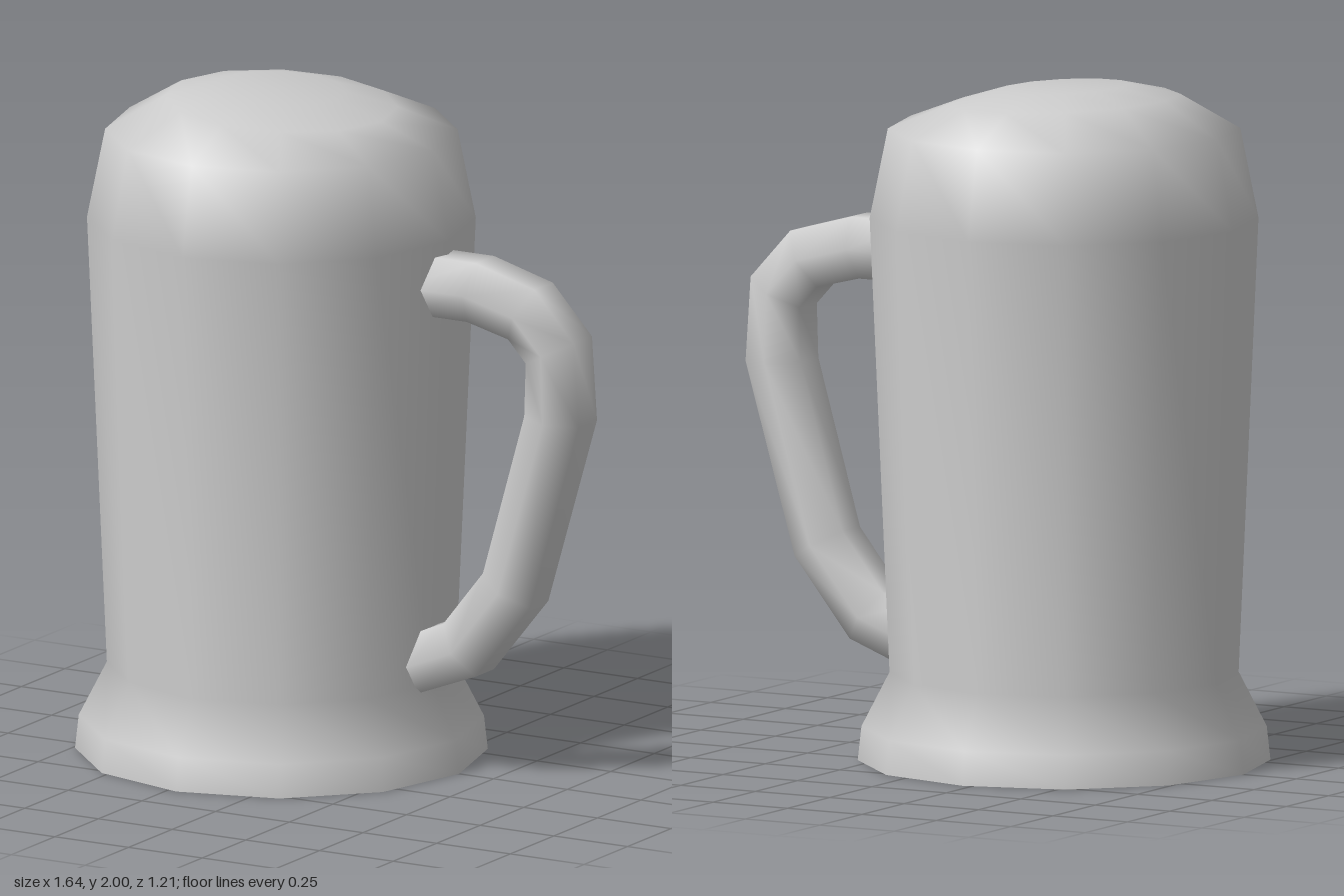
import * as THREE from 'three';
import { mergeVertices } from 'three/addons/utils/BufferGeometryUtils.js';

const SIDES = 12;
const AXIS_X = -0.22;

// Smooth, welded wall and domed top turned from one profile
function bodyGeometry() {
  const profile = [
    [0.603, 0], [0.592, 0.1], [0.51, 0.26], [0.568, 1.6], [0.515, 1.865],
    [0.34, 1.95], [0.19, 1.988], [0, 1.988],
  ].map(([r, y]) => new THREE.Vector2(r, y));
  let geo = new THREE.LatheGeometry(profile, SIDES);
  // the crown leans slightly, higher on the side away from the handle
  const p = geo.attributes.position;
  for (let i = 0; i < p.count; i++) {
    if (p.getY(i) > 1.9) p.setY(i, p.getY(i) - 0.055 * p.getX(i));
  }
  geo.deleteAttribute('uv');
  geo.deleteAttribute('normal');
  geo = mergeVertices(geo, 1e-4);
  geo.computeVertexNormals();
  return geo;
}

// Hexagonal tube through pairs of outer and inner outline points
function handleGeometry() {
  const stations = [
    // outer x, y, inner x, y
    [0.24, 1.56, 0.24, 1.38],
    [0.47, 1.56, 0.44, 1.38],
    [0.67, 1.505, 0.58, 1.345],
    [0.803, 1.36, 0.64, 1.28],
    [0.82, 1.11, 0.635, 1.12],
    [0.655, 0.545, 0.495, 0.63],
    [0.47, 0.315, 0.36, 0.46],
    [0.275, 0.24, 0.275, 0.425],
    [0.22, 0.22, 0.22, 0.405],
  ];
  const pos = [], index = [];
  stations.forEach(([ox, oy, ix, iy], i) => {
    const cx = (ox + ix) / 2, cy = (oy + iy) / 2;
    for (let k = 0; k < 6; k++) {
      const a = (k + 0.5) * Math.PI / 3;
      const s = Math.cos(a) / Math.cos(Math.PI / 6);
      pos.push(cx + (ox - cx) * s, cy + (oy - cy) * s, 0.105 * Math.sin(a));
      if (i < stations.length - 1) {
        const p = i * 6 + k, q = i * 6 + (k + 1) % 6;
        index.push(p, q, p + 6, q, q + 6, p + 6);
      }
    }
  });
  const geo = new THREE.BufferGeometry();
  geo.setAttribute('position', new THREE.Float32BufferAttribute(pos, 3));
  geo.setIndex(index);
  geo.computeVertexNormals();
  return geo;
}

export function createModel() {
  const group = new THREE.Group();
  group.name = 'tankard';
  const material = new THREE.MeshStandardMaterial({ color: 0xcccccc });
  const add = (name, geo) => {
    const mesh = new THREE.Mesh(geo, material);
    mesh.name = name;
    group.add(mesh);
    return mesh;
  };

  // Body with flared foot and domed top
  add('body', bodyGeometry()).position.x = AXIS_X;

  // Flat underside
  const bottom = add('bottom', new THREE.CircleGeometry(0.603, SIDES));
  bottom.rotation.x = Math.PI / 2;
  bottom.position.x = AXIS_X;

  // Handle on the left side
  add('handle', handleGeometry());

  return group;
}
